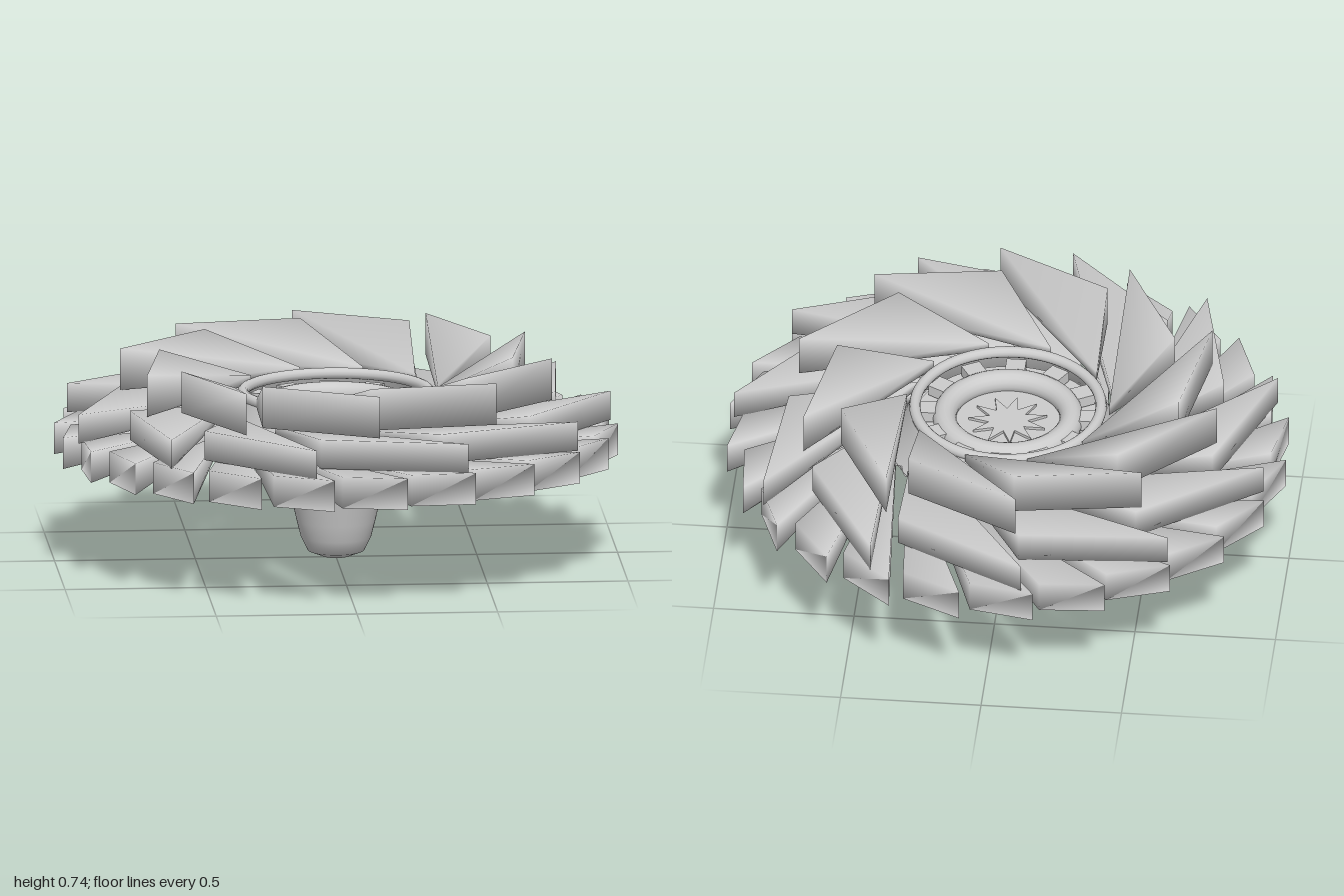
import * as THREE from 'three';

const material = new THREE.MeshStandardMaterial({ color: 0xcccccc });
const doubleMaterial = new THREE.MeshStandardMaterial({ color: 0xcccccc, side: THREE.DoubleSide });
const rad = THREE.MathUtils.degToRad;

// Polar point; angles run from +x towards -z
const polar = (r, deg, y) => [r * Math.cos(rad(deg)), y, -r * Math.sin(rad(deg))];

function add(parent, name, geometry, y = 0, mat = material) {
  const mesh = new THREE.Mesh(geometry, mat);
  mesh.name = name;
  mesh.position.y = y;
  parent.add(mesh);
  return mesh;
}

function lathe(points, segments = 64) {
  return new THREE.LatheGeometry(points.map(([r, y]) => new THREE.Vector2(r, y)), segments);
}

// Swept wedge: upright outer wall tapering to a narrow root at the hub
function bladeGeometry({ bottom, top, tip, trail, root }) {
  const corners = [
    polar(tip.r, 0, bottom), polar(tip.r, 0, top),
    polar(root.r, -root.back, root.y - 0.015), polar(root.r, -root.back, root.y + 0.015),
    polar(trail.r, -trail.back, bottom), polar(trail.r, -trail.back, top),
  ];
  const index = [1, 3, 5, 0, 4, 2];
  for (let i = 0; i < 3; i++) {
    const p = i * 2, q = ((i + 1) % 3) * 2;
    index.push(p, q, q + 1, p, q + 1, p + 1);
  }
  const g = new THREE.BufferGeometry();
  g.setAttribute('position', new THREE.Float32BufferAttribute(corners.flat(), 3));
  g.setIndex(index);
  g.computeVertexNormals();
  return g;
}

function bladeTier(name, spec) {
  const tier = new THREE.Group();
  tier.name = name;
  const geometry = bladeGeometry(spec);
  for (let i = 0; i < spec.count; i++) {
    add(tier, 'blade', geometry).rotation.y = rad(spec.start + (i * 360) / spec.count);
  }
  return tier;
}

function starGeometry(points, outer, inner, depth) {
  const shape = new THREE.Shape();
  for (let i = 0; i < points * 2; i++) {
    const r = i % 2 ? inner : outer;
    const a = (i * Math.PI) / points;
    shape[i ? 'lineTo' : 'moveTo'](r * Math.cos(a), r * Math.sin(a));
  }
  shape.closePath();
  return new THREE.ExtrudeGeometry(shape, { depth, bevelEnabled: false }).rotateX(-Math.PI / 2);
}

export function createModel() {
  const model = new THREE.Group();
  model.name = 'bladedRotor';

  // Three tiers of swept blades
  model.add(bladeTier('lowerBlades', {
    count: 24, start: -4.5, bottom: 0.375, top: 0.488,
    tip: { r: 1.0 }, trail: { r: 0.94, back: 13.3 }, root: { r: 0.41, back: 50, y: 0.45 },
  }));
  model.add(bladeTier('middleBlades', {
    count: 11, start: 0, bottom: 0.485, top: 0.59,
    tip: { r: 0.975 }, trail: { r: 0.78, back: 32.7 }, root: { r: 0.39, back: 62, y: 0.53 },
  }));
  model.add(bladeTier('upperBlades', {
    count: 10, start: -10.6, bottom: 0.59, top: 0.74,
    tip: { r: 0.77 }, trail: { r: 0.63, back: 36 }, root: { r: 0.36, back: 63, y: 0.605 },
  }));

  // Tapered spindle with rounded nose and flared collar
  add(model, 'spindle', lathe([
    [0, 0.005], [0.05, 0.01], [0.1, 0.03], [0.125, 0.08], [0.14, 0.14],
    [0.17, 0.27], [0.195, 0.375], [0.22, 0.405], [0.25, 0.42], [0.25, 0.44],
  ]), 0, doubleMaterial);

  // Ribbed skirt under the hub
  const skirt = lathe([[0.22, 0.43], [0.3, 0.435], [0.37, 0.44], [0.42, 0.45]], 216);
  const p = skirt.attributes.position;
  for (let i = 0; i < p.count; i++) {
    const wave = Math.cos(36 * Math.atan2(p.getZ(i), p.getX(i)));
    p.setY(i, p.getY(i) + 0.01 * wave);
  }
  skirt.computeVertexNormals();
  add(model, 'ribbedSkirt', skirt, 0, doubleMaterial);

  // Hub drum and sunken floor
  add(model, 'hubDrum', lathe([[0.42, 0.45], [0.39, 0.49], [0.36, 0.55], [0.34, 0.6]]), 0, doubleMaterial);
  add(model, 'hubFloor', new THREE.CylinderGeometry(0.34, 0.34, 0.03, 64), 0.515);

  // Outer rim and inner bearing ring
  add(model, 'outerRim', new THREE.TorusGeometry(0.33, 0.02, 12, 72).rotateX(Math.PI / 2), 0.6);
  add(model, 'innerRing', new THREE.TorusGeometry(0.225, 0.042, 16, 64).rotateX(Math.PI / 2), 0.55);

  // Slotted cage between the rings
  const cage = new THREE.Group();
  cage.name = 'slottedCage';
  const count = 12;
  for (let i = 0; i < count; i++) {
    const holder = new THREE.Group();
    holder.rotation.y = (i / count) * Math.PI * 2;
    const spoke = add(holder, 'spoke', new THREE.BoxGeometry(0.07, 0.04, 0.07), 0.555);
    spoke.position.x = 0.287;
    cage.add(holder);
  }
  model.add(cage);

  // Star relief on the floor
  add(model, 'starRelief', starGeometry(11, 0.14, 0.07, 0.012), 0.528);

  return model;
}
